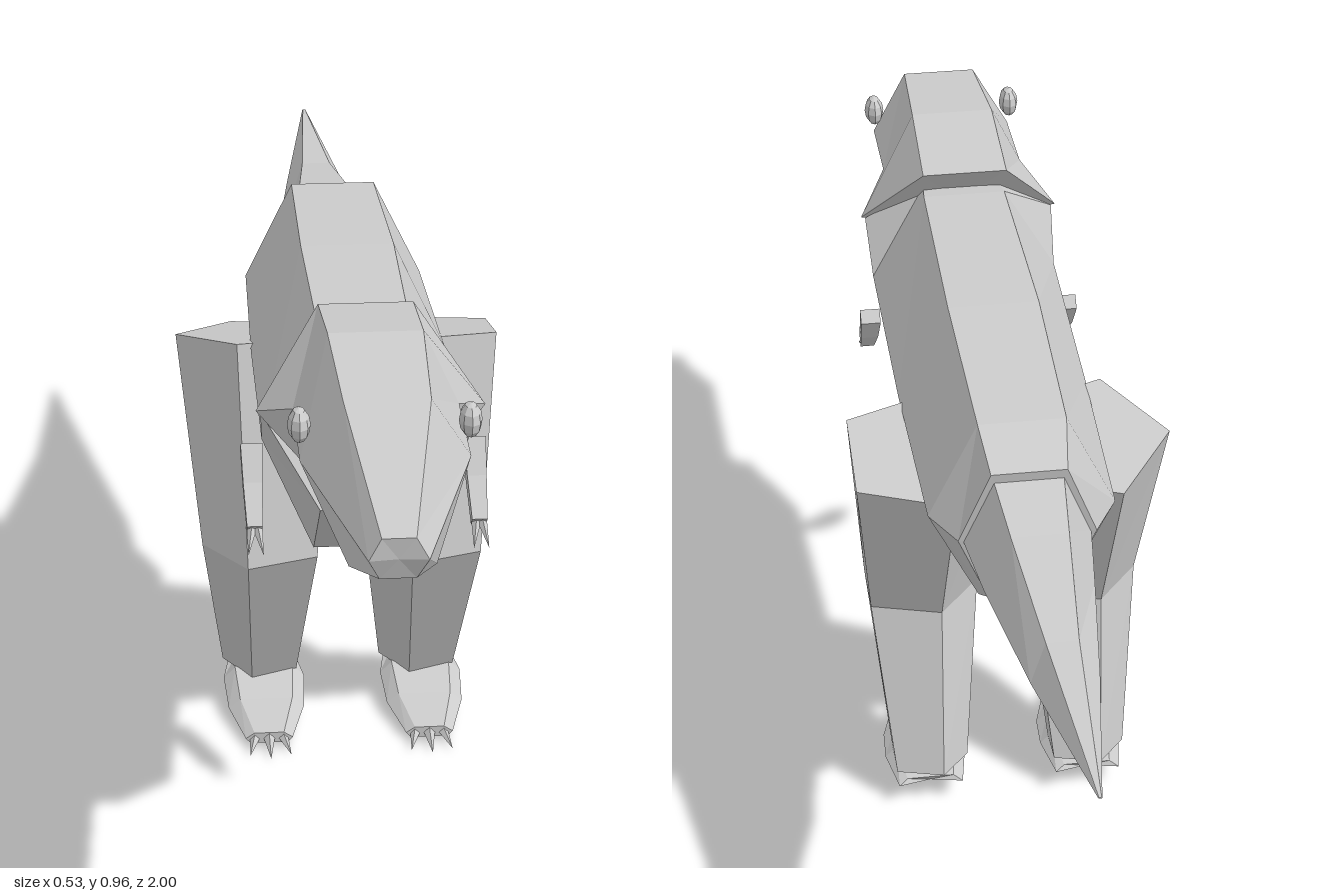
import * as THREE from 'three';

const material = new THREE.MeshStandardMaterial({ color: 0xcccccc, flatShading: true });

function addMesh(parent, geometry, name) {
  const mesh = new THREE.Mesh(geometry, material);
  mesh.name = name;
  parent.add(mesh);
  return mesh;
}

// Skin a list of rings (arrays of [x, y, z]) with flat faces and capped ends.
// Each ring turns counter-clockwise when seen from the end of the list.
function loft(rings) {
  const pos = [];
  const tri = (a, b, c) => pos.push(...a, ...b, ...c);
  const n = rings[0].length;
  const centre = (ring) => [0, 1, 2].map((k) => ring.reduce((s, p) => s + p[k], 0) / n);
  const first = rings[0], last = rings[rings.length - 1];
  const c0 = centre(first), c1 = centre(last);
  for (let i = 0; i < n; i++) {
    const j = (i + 1) % n;
    for (let r = 0; r < rings.length - 1; r++) {
      const a = rings[r], b = rings[r + 1];
      tri(a[i], a[j], b[j]);
      tri(a[i], b[j], b[i]);
    }
    tri(c0, first[j], first[i]);
    tri(c1, last[i], last[j]);
  }
  const geometry = new THREE.BufferGeometry();
  geometry.setAttribute('position', new THREE.Float32BufferAttribute(pos, 3));
  geometry.computeVertexNormals();
  return geometry;
}

// Six-sided ring: top, middle and bottom pairs, each given as [half width, y, z]
const hexRing = ([t, m, b]) => [
  [m[0], m[1], m[2]], [t[0], t[1], t[2]], [-t[0], t[1], t[2]],
  [-m[0], m[1], m[2]], [-b[0], b[1], b[2]], [b[0], b[1], b[2]],
];
const hexLoft = (sections) => loft(sections.map(hexRing));

// Five-sided leg ring, pointing to -x, tilted by a slope along z
function legRing(r, y, z, slope) {
  const ring = [];
  for (let i = 0; i < 5; i++) {
    const a = Math.PI + (i * Math.PI * 2) / 5;
    const dz = -Math.sin(a) * r * 0.93;
    ring.push([Math.cos(a) * r, y + slope * dz, z + dz]);
  }
  return ring;
}

function createLeg() {
  const leg = new THREE.Group();
  addMesh(leg, loft([
    legRing(0.07, 0.06, -0.055, -0.1),
    legRing(0.105, 0.347, 0.065, -0.03),
    legRing(0.14, 0.689, -0.035, 0.26),
  ]), 'legLimb');

  // Foot: flat wedge, broad behind and narrow at the toes
  addMesh(leg, hexLoft([
    [[0.04, 0.052, -0.1], [0.055, 0.045, -0.11], [0.045, 0.025, -0.07]],
    [[0.05, 0.06, -0.02], [0.07, 0.04, -0.02], [0.055, 0.018, -0.02]],
    [[0.045, 0.042, 0.06], [0.065, 0.025, 0.06], [0.055, 0.012, 0.06]],
    [[0.025, 0.026, 0.15], [0.04, 0.016, 0.15], [0.032, 0.007, 0.15]],
  ]), 'foot');

  // Claws fan out from the toes
  for (const s of [-1, 0, 1]) {
    const claw = addMesh(leg, new THREE.ConeGeometry(0.011, 0.07, 4), 'toeClaw');
    claw.rotation.set(Math.PI / 2 + 0.08, 0, -s * 0.2);
    claw.position.set(s * 0.028, 0.013, s === 0 ? 0.175 : 0.165);
  }
  return leg;
}

function createArm() {
  const arm = new THREE.Group();
  const ring = (w, t, y, z) => [
    [w, y - t, z - t], [w, y + t, z + t], [-w, y + t, z + t], [-w, y - t, z - t],
  ];
  addMesh(arm, loft([
    ring(0.017, 0.009, 0.685, 0.4),
    ring(0.015, 0.009, 0.635, 0.435),
    ring(0.012, 0.008, 0.585, 0.485),
  ]), 'armLimb');
  for (const s of [-1, 1]) {
    const claw = addMesh(arm, new THREE.ConeGeometry(0.008, 0.05, 4), 'fingerClaw');
    claw.rotation.set(Math.PI / 2 + 0.6, 0, -s * 0.15);
    claw.position.set(s * 0.008, 0.572, 0.502);
  }
  return arm;
}

export function createModel() {
  const model = new THREE.Group();
  model.name = 'dinosaur';
  const trunk = new THREE.Group();
  trunk.name = 'trunk';
  trunk.position.x = 0.012;
  model.add(trunk);

  // Body from hips to chest
  addMesh(trunk, hexLoft([
    [[0.06, 0.828, -0.325], [0.11, 0.698, -0.31], [0.06, 0.57, -0.29]],
    [[0.07, 0.87, -0.245], [0.15, 0.705, -0.245], [0.07, 0.544, -0.245]],
    [[0.075, 0.887, 0.08], [0.158, 0.712, 0.1], [0.085, 0.527, 0.13]],
    [[0.07, 0.887, 0.45], [0.16, 0.727, 0.465], [0.085, 0.568, 0.52]],
    [[0.065, 0.88, 0.5], [0.165, 0.805, 0.535], [0.083, 0.69, 0.64]],
  ]), 'body');

  // Head from the back of the skull to the snout
  addMesh(trunk, hexLoft([
    [[0.072, 0.935, 0.437], [0.172, 0.807, 0.535], [0.085, 0.737, 0.63]],
    [[0.07, 0.962, 0.61], [0.122, 0.85, 0.625], [0.075, 0.737, 0.645]],
    [[0.062, 0.942, 0.805], [0.122, 0.842, 0.785], [0.062, 0.737, 0.91]],
    [[0.024, 0.823, 0.998], [0.042, 0.79, 1.0], [0.026, 0.755, 0.985]],
  ]), 'head');

  // Tail narrowing to a point
  addMesh(trunk, hexLoft([
    [[0.002, 0.738, -1], [0.003, 0.737, -1], [0.002, 0.736, -1]],
    [[0.025, 0.753, -0.66], [0.052, 0.704, -0.69], [0.025, 0.665, -0.71]],
    [[0.045, 0.788, -0.437], [0.086, 0.69, -0.437], [0.045, 0.592, -0.437]],
    [[0.055, 0.812, -0.32], [0.102, 0.695, -0.305], [0.055, 0.58, -0.285]],
  ]), 'tail');

  for (const side of [-1, 1]) {
    const name = side > 0 ? 'left' : 'right';

    const eye = addMesh(trunk, new THREE.SphereGeometry(0.026, 8, 6), name + 'Eye');
    eye.scale.x = 0.65;
    eye.position.set(side * 0.122, 0.892, 0.77);

    const arm = createArm();
    arm.name = name + 'Arm';
    arm.position.x = side * 0.173;
    trunk.add(arm);

    const leg = createLeg();
    leg.name = name + 'Leg';
    leg.position.x = side * 0.137;
    trunk.add(leg);
  }
  return model;
}
